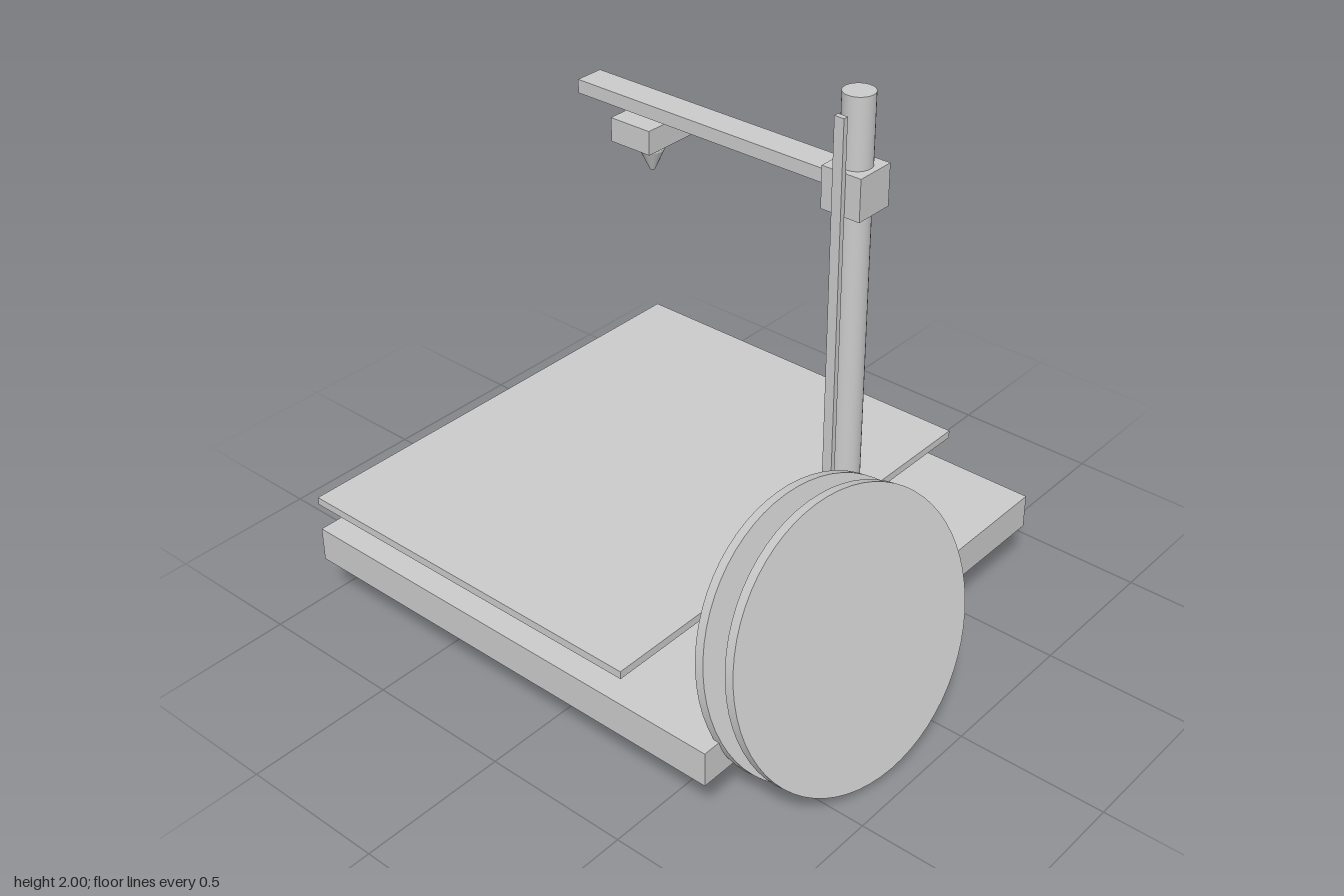
import * as THREE from 'three';

const material = new THREE.MeshStandardMaterial({ color: 0xcccccc });

function add(parent, name, geometry, x, y, z) {
  const mesh = new THREE.Mesh(geometry, material);
  mesh.name = name;
  mesh.position.set(x, y, z);
  parent.add(mesh);
  return mesh;
}

// Box given by its limits along each axis
function addBox(parent, name, [x0, x1], [y0, y1], [z0, z1]) {
  return add(parent, name, new THREE.BoxGeometry(x1 - x0, y1 - y0, z1 - z0),
    (x0 + x1) / 2, (y0 + y1) / 2, (z0 + z1) / 2);
}

export function createModel() {
  const model = new THREE.Group();
  model.name = 'singleArmPrinter';
  const width = [-0.82, 0.815];
  const cx = 0.006, columnZ = 0.515;

  // Base and floating print bed
  addBox(model, 'base', width, [0.187, 0.307], [-0.96, 0.675]);
  addBox(model, 'printBed', width, [0.404, 0.431], [-0.96, 0.358]);

  // Upright column with its thin guide rail
  add(model, 'column', new THREE.CylinderGeometry(0.048, 0.048, 1.695, 32), cx, 1.1525, columnZ);
  addBox(model, 'guideRail', [-0.079, -0.062], [0.307, 1.95], [0.497, 0.53]);

  // Sliding carriage and horizontal arm
  addBox(model, 'carriage', [-0.061, 0.073], [1.647, 1.78], [0.447, 0.581]);
  addBox(model, 'arm', [-0.042, 0.054], [1.715, 1.759], [-0.49, 0.45]);

  // Print head with a pointed nozzle
  const head = new THREE.Group();
  head.name = 'printHead';
  head.position.set(cx, 0, -0.238);
  model.add(head);
  addBox(head, 'headBlock', [-0.096, 0.096], [1.627, 1.704], [-0.075, 0.075]);
  add(head, 'nozzleNeck', new THREE.CylinderGeometry(0.029, 0.029, 0.028, 20), 0, 1.613, 0);
  const nozzle = [[0, 1.525], [0.008, 1.525], [0.038, 1.592], [0.038, 1.598], [0.029, 1.612], [0, 1.612]]
    .map(([r, y]) => new THREE.Vector2(r, y));
  const nozzleGeometry = new THREE.LatheGeometry(nozzle, 20).toNonIndexed();
  nozzleGeometry.computeVertexNormals();
  add(head, 'nozzle', nozzleGeometry, 0, 0, 0);

  // Filament spool, tilted back against the column
  const spool = new THREE.Group();
  spool.name = 'spool';
  spool.position.set(-0.327, 0.473, 0.75);
  spool.quaternion.setFromUnitVectors(
    new THREE.Vector3(0, 1, 0), new THREE.Vector3(-0.12, 0.25, 0.96).normalize());
  model.add(spool);
  add(spool, 'spoolHub', new THREE.CylinderGeometry(0.372, 0.372, 0.14, 48), 0, 0, 0);
  for (const [name, side] of [['frontFlange', 1], ['backFlange', -1]]) {
    add(spool, name, new THREE.CylinderGeometry(0.465, 0.465, 0.034, 64), 0, side * 0.063, 0);
  }

  return model;
}
